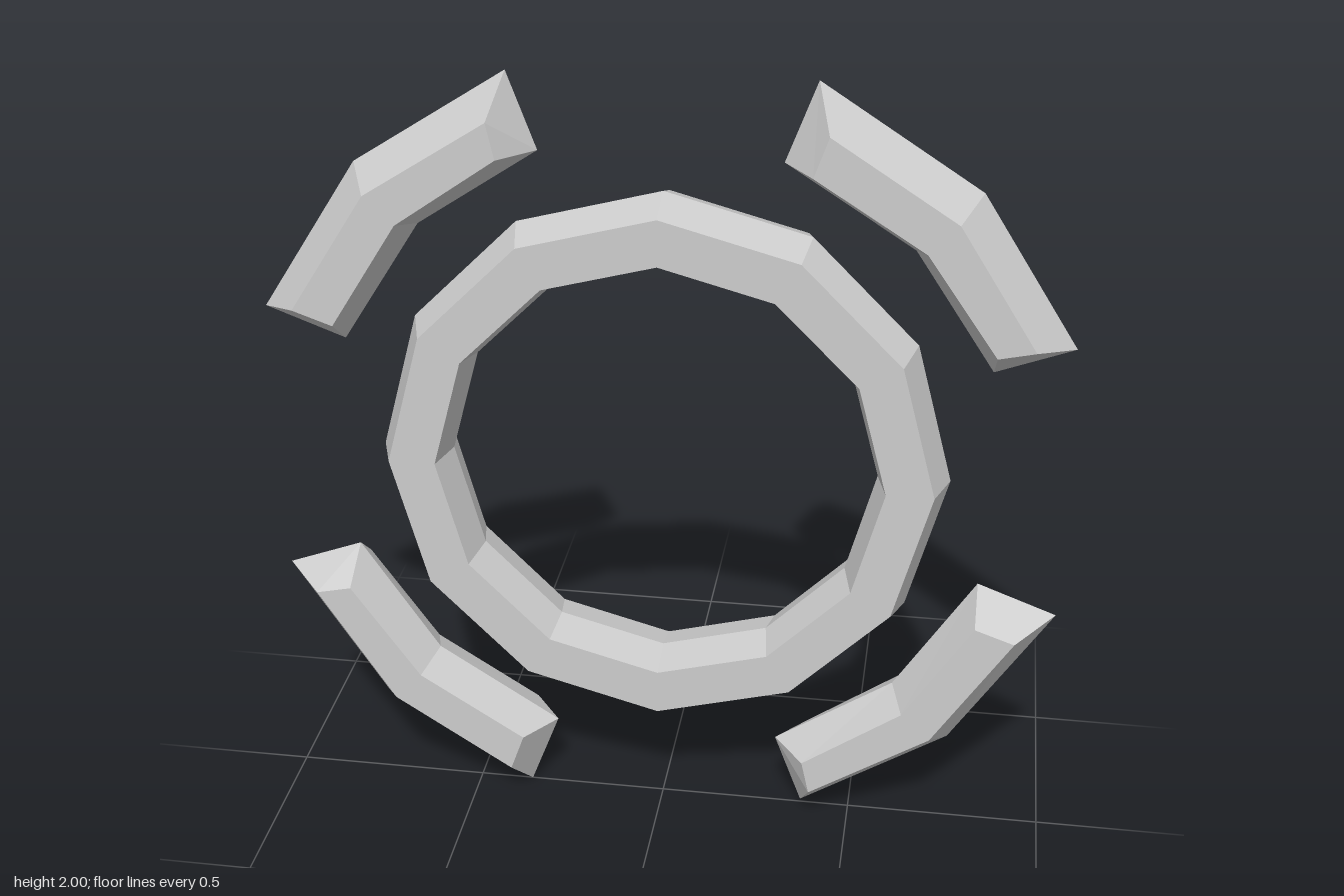
import * as THREE from 'three';

const HALF_DEPTH = 0.103;
const material = new THREE.MeshStandardMaterial({ color: 0xcccccc, flatShading: true });

// Twelve-sided ring with a hexagonal section, ridged inside and outside
function makeRing() {
  const profile = [
    [0.715, 0], [0.68, HALF_DEPTH], [0.562, HALF_DEPTH],
    [0.536, 0], [0.562, -HALF_DEPTH], [0.68, -HALF_DEPTH], [0.715, 0],
  ].map(([r, y]) => new THREE.Vector2(r, y));
  const geometry = new THREE.LatheGeometry(profile, 12).rotateX(Math.PI / 2).toNonIndexed();
  geometry.computeVertexNormals();
  return geometry;
}

// Bent bar: a wide outline at mid depth, tapering to an inset outline front and back
function makeBar() {
  const middle = [[0.285, 0.8], [0.6, 0.6], [0.8, 0.3], [0.992, 0.372], [0.75, 0.75], [0.36, 1]];
  const inset = [[0.36, 0.8], [0.63, 0.63], [0.805, 0.38], [0.895, 0.4], [0.7, 0.705], [0.395, 0.9]];
  const layer = (points, z) => points.map(([x, y]) => [x, y, z]);
  const layers = [layer(inset, -HALF_DEPTH), layer(middle, 0), layer(inset, HALF_DEPTH)];
  const positions = [];
  const quad = (a, b, c, d) => positions.push(...a, ...b, ...c, ...a, ...c, ...d);

  // Bevelled sides
  for (let k = 0; k < 2; k++) {
    for (let i = 0; i < 6; i++) {
      const j = (i + 1) % 6;
      quad(layers[k][i], layers[k][j], layers[k + 1][j], layers[k + 1][i]);
    }
  }
  // Flat front and back, one quad for each straight stretch
  const [back, , front] = layers;
  for (const [a, b, c, d] of [[0, 1, 4, 5], [1, 2, 3, 4]]) {
    quad(front[a], front[b], front[c], front[d]);
    quad(back[d], back[c], back[b], back[a]);
  }
  const geometry = new THREE.BufferGeometry();
  geometry.setAttribute('position', new THREE.Float32BufferAttribute(positions, 3));
  geometry.computeVertexNormals();
  return geometry;
}

export function createModel() {
  const model = new THREE.Group();
  model.name = 'ringWithCornerBars';

  const ring = new THREE.Mesh(makeRing(), material);
  ring.name = 'ring';
  ring.position.y = 1;
  model.add(ring);

  // Four bars, each a quarter turn from the last
  const barGeometry = makeBar();
  ['upperLeftBar', 'upperRightBar', 'lowerRightBar', 'lowerLeftBar'].forEach((name, i) => {
    const bar = new THREE.Mesh(barGeometry, material);
    bar.name = name;
    bar.position.y = 1;
    bar.rotation.z = (i * Math.PI) / 2;
    model.add(bar);
  });
  return model;
}
